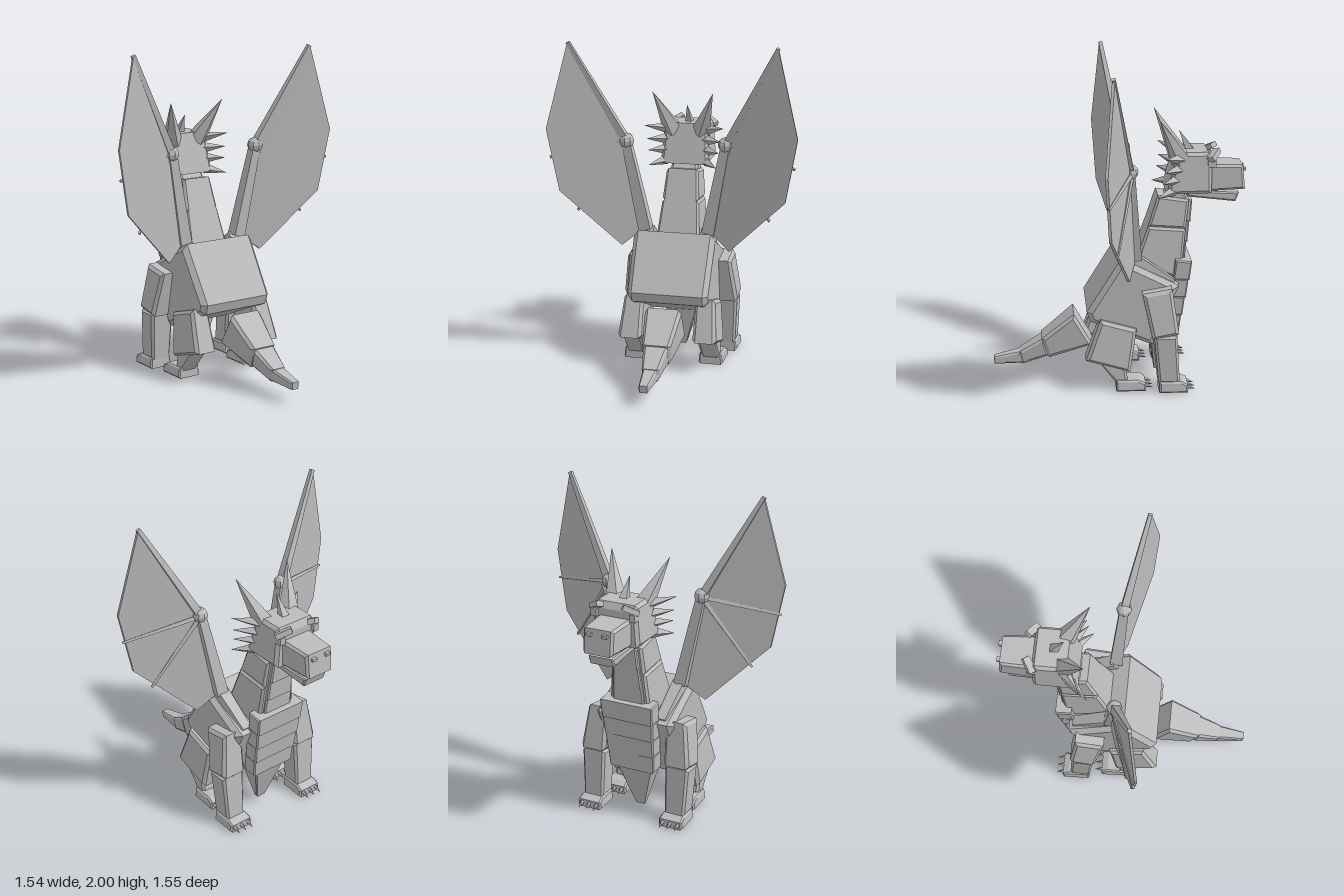
import * as THREE from 'three';

const stone = new THREE.MeshStandardMaterial({ color: 0xbcbcbc, flatShading: true });
stone.name = 'stone grey';
const V = (a) => new THREE.Vector3(...a);

function add(parent, name, geometry) {
  const mesh = new THREE.Mesh(geometry, stone);
  mesh.name = name;
  parent.add(mesh);
  return mesh;
}

// Bevelled block from a side profile of [z, y] points. The first two points are
// the start end, the last two the far end; half width w and centre x run between them.
function block(parent, name, profile, w, x = [0, 0], bevel = 0.015) {
  const shape = new THREE.Shape(profile.map(([z, y]) => new THREE.Vector2(-z, y)));
  const h = Math.max(...w);
  const geo = new THREE.ExtrudeGeometry(shape, {
    depth: 2 * (h - bevel), bevelEnabled: true, bevelSegments: 1,
    bevelSize: bevel, bevelThickness: bevel, bevelOffset: -bevel,
  });
  geo.translate(0, 0, bevel - h).rotateY(Math.PI / 2);
  const mid = (a, b) => new THREE.Vector2((a[0] + b[0]) / 2, (a[1] + b[1]) / 2);
  const n = profile.length;
  const start = mid(profile[0], profile[1]);
  const axis = mid(profile[n - 2], profile[n - 1]).sub(start);
  const p = geo.attributes.position;
  for (let i = 0; i < p.count; i++) {
    const d = new THREE.Vector2(p.getZ(i), p.getY(i)).sub(start);
    const t = THREE.MathUtils.clamp(d.dot(axis) / axis.lengthSq(), 0, 1);
    const lerp = THREE.MathUtils.lerp;
    p.setX(i, p.getX(i) * lerp(w[0], w[1], t) / h + lerp(x[0], x[1], t));
  }
  geo.computeVertexNormals();
  return add(parent, name, geo);
}

// Tapered rod between two points
function rod(parent, name, a, b, r0, r1, sides = 4) {
  const from = V(a), to = V(b), dir = to.clone().sub(from);
  const geo = new THREE.CylinderGeometry(r1, r0, dir.length(), sides);
  if (sides === 4) geo.rotateY(Math.PI / 4);
  const mesh = add(parent, name, geo);
  mesh.position.copy(from).add(to).multiplyScalar(0.5);
  mesh.quaternion.setFromUnitVectors(new THREE.Vector3(0, 1, 0), dir.normalize());
  return mesh;
}

function makeFoot(parent, name, zBack, zFront, x) {
  block(parent, name, [[zBack, 0], [zFront, 0], [zFront, 0.05], [zFront + 0.04, 0.07], [zBack, 0.07]],
    [0.08, 0.07], [x, x], 0.01);
  for (const dx of [-0.05, 0, 0.05]) {
    rod(parent, name + 'Claw', [x + dx, 0.035, zFront + 0.02], [x + dx, 0.015, zFront - 0.045], 0.018, 0.001, 5);
  }
}

function makeWing(parent) {
  const wing = new THREE.Group();
  wing.name = 'wing';
  parent.add(wing);
  // The wing lies in a plane swept back towards the tail
  const depth = (x) => -0.055 + (x - 0.31) * 0.36;
  const at = (x, y, dz = 0) => [x, y, depth(x) + dz];
  const outline = [[0.2, 0.83], [0.31, 1.38], [0.64, 1.99], [0.77, 1.47], [0.7, 1.08], [0.34, 0.72]];
  const geo = new THREE.ExtrudeGeometry(
    new THREE.Shape(outline.map((q) => new THREE.Vector2(...q))), { depth: 0.016, bevelEnabled: false });
  const p = geo.attributes.position;
  for (let i = 0; i < p.count; i++) p.setZ(i, p.getZ(i) - 0.008 + depth(p.getX(i)));
  geo.computeVertexNormals();
  add(wing, 'wingMembrane', geo);
  rod(wing, 'wingArm', at(0.2, 0.82), at(0.31, 1.38), 0.055, 0.038);
  rod(wing, 'wingSpar', at(0.31, 1.38), at(0.638, 1.995), 0.034, 0.016);
  rod(wing, 'wingRib', at(0.31, 1.38, -0.008), at(0.755, 1.29, -0.008), 0.018, 0.009);
  rod(wing, 'wingRib', at(0.31, 1.38, -0.008), at(0.6, 0.95, -0.008), 0.018, 0.009);
  add(wing, 'wingJoint', new THREE.SphereGeometry(0.048, 8, 6)).position.set(...at(0.31, 1.385));
  rod(wing, 'wingShoulder', [0.19, 0.81, -0.09], [0.18, 0.65, -0.32], 0.055, 0.045);
}

export function createModel() {
  const model = new THREE.Group();
  model.name = 'dragon';

  // Body and neck
  block(model, 'torso', [[0.2, 0.49], [0.18, 0.43], [-0.2, 0.27], [-0.36, 0.65], [-0.01, 0.83]],
    [0.25, 0.26], [0, 0], 0.03);
  block(model, 'lowerNeck', [[-0.1, 0.76], [-0.38, 0.66], [-0.41, 0.97], [-0.18, 0.99]], [0.14, 0.115]);
  block(model, 'upperNeck', [[-0.18, 0.99], [-0.41, 0.97], [-0.43, 1.15], [-0.24, 1.18]], [0.115, 0.1]);
  block(model, 'neckTop', [[-0.27, 1.15], [-0.41, 1.13], [-0.42, 1.22], [-0.32, 1.22]], [0.085, 0.085]);

  // Overlapping throat and belly plates
  const plates = (name, count, top, bottom, w0, w1, thick) => {
    for (let i = 0; i < count; i++) {
      const mix = (t, k) => top[k] + (bottom[k] - top[k]) * t;
      const a = i / count, b = (i + 1) / count, w = (t) => w0 + (w1 - w0) * t;
      const z0 = mix(a, 0), z1 = mix(b, 0) - 0.006, y0 = mix(a, 1), y1 = mix(b, 1);
      block(model, name, [[z0, y0], [z0 + thick, y0 + 0.01], [z1 + thick, y1], [z1, y1 - 0.005]],
        [w(a), w(b)], [0, 0], 0.008);
    }
  };
  plates('throatPlate', 3, [-0.452, 1.14], [-0.40, 0.76], 0.075, 0.105, 0.06);
  plates('bellyPlate', 4, [-0.445, 0.78], [-0.365, 0.32], 0.175, 0.15, 0.1);
  block(model, 'bellyPoint', [[-0.355, 0.33], [-0.2, 0.31], [-0.23, 0.03], [-0.26, 0.03]],
    [0.12, 0.03], [0, 0], 0.01);

  // Tail
  block(model, 'tailBase', [[0.275, 0.43], [0.16, 0.23], [0.43, 0.14], [0.475, 0.265]], [0.115, 0.085], [0, 0], 0.02);
  block(model, 'tailMiddle', [[0.465, 0.262], [0.43, 0.15], [0.595, 0.09], [0.615, 0.17]], [0.076, 0.05]);
  block(model, 'tailTip', [[0.6, 0.17], [0.585, 0.095], [0.77, 0.085], [0.775, 0.13]], [0.046, 0.028], [0, 0], 0.01);

  // Head
  block(model, 'skull', [[-0.29, 1.2], [-0.56, 1.2], [-0.56, 1.41], [-0.54, 1.45], [-0.35, 1.45]],
    [0.155, 0.135], [0, 0], 0.02);
  block(model, 'snout', [[-0.5, 1.37], [-0.45, 1.2], [-0.77, 1.21], [-0.755, 1.36]], [0.11, 0.095]);
  block(model, 'lowerJaw', [[-0.41, 1.21], [-0.42, 1.17], [-0.715, 1.13], [-0.735, 1.185]], [0.1, 0.08], [0, 0], 0.01);
  rod(model, 'browHorn', [0, 1.41, -0.455], [0, 1.56, -0.375], 0.042, 0.001);

  // Everything paired is built once on each side
  for (const s of [1, -1]) {
    const side = new THREE.Group();
    side.name = s > 0 ? 'leftSide' : 'rightSide';
    side.scale.x = s;
    model.add(side);

    rod(side, 'horn', [0.09, 1.4, -0.38], [0.19, 1.66, -0.24], 0.065, 0.001, 5);
    const cheekTips = [[0.25, 1.44, -0.27], [0.235, 1.355, -0.27], [0.225, 1.285, -0.26], [0.215, 1.195, -0.23]];
    cheekTips.forEach((tip, i) =>
      rod(side, 'cheekSpike', [0.12, 1.41 - i * 0.064, -0.37 + i * 0.012], tip, 0.036, 0.001));

    // Eye under a slanted brow, and a nostril
    add(side, 'eye', new THREE.BoxGeometry(0.035, 0.045, 0.05)).position.set(0.125, 1.385, -0.56);
    const brow = add(side, 'brow', new THREE.BoxGeometry(0.1, 0.032, 0.045));
    brow.position.set(0.11, 1.43, -0.572);
    brow.rotation.set(0.3, -0.65, -0.25);
    add(side, 'nostril', new THREE.BoxGeometry(0.032, 0.018, 0.02)).position.set(0.05, 1.327, -0.767);

    makeWing(side);

    // Front leg
    block(side, 'upperFrontLeg', [[-0.13, 0.63], [-0.31, 0.66], [-0.35, 0.38], [-0.19, 0.35]],
      [0.065, 0.085], [0.265, 0.285], 0.02);
    block(side, 'lowerFrontLeg', [[-0.2, 0.37], [-0.34, 0.37], [-0.36, 0.06], [-0.23, 0.06]],
      [0.078, 0.066], [0.285, 0.28]);
    makeFoot(side, 'frontFoot', -0.235, -0.41, 0.28);

    // Hind leg
    block(side, 'thigh', [[0.12, 0.455], [-0.1, 0.39], [-0.06, 0.12], [0.21, 0.2]], [0.06, 0.075], [0.225, 0.235], 0.02);
    block(side, 'shin', [[0.14, 0.2], [-0.03, 0.16], [-0.05, 0.05], [0.02, 0.04]], [0.06, 0.055], [0.235, 0.24]);
    makeFoot(side, 'hindFoot', 0.025, -0.155, 0.24);
  }
  return model;
}
